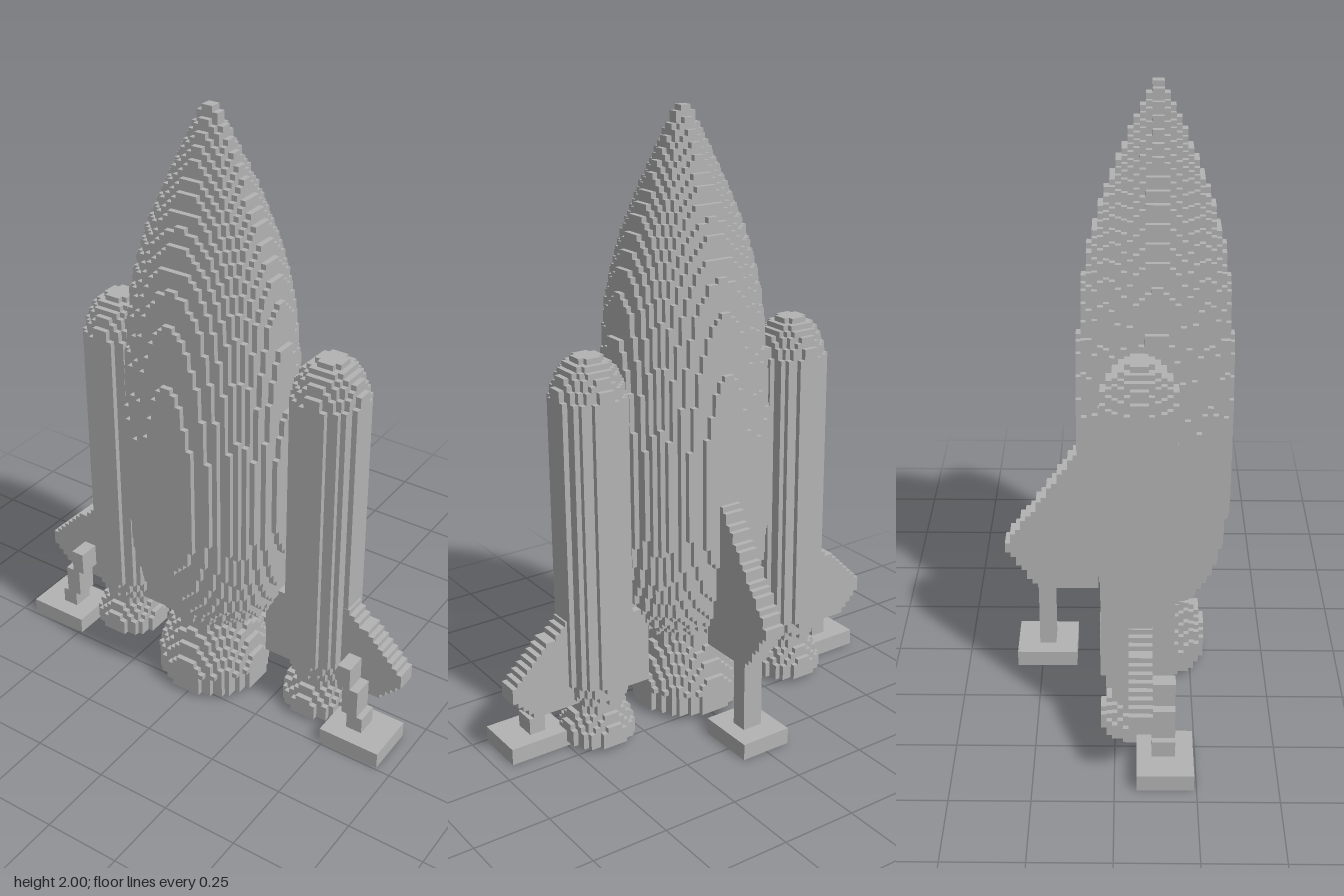
import * as THREE from 'three';
import { mergeGeometries } from 'three/addons/utils/BufferGeometryUtils.js';

const U = 2 / 114; // edge of one cube
const hullGrey = new THREE.MeshStandardMaterial({ color: 0xb3b3b3 });
hullGrey.name = 'hullGrey';

// Linear lookup in a list of [y, value] points; zero outside the list
function sample(points, y) {
  for (let i = 1; i < points.length; i++) {
    const [y0, v0] = points[i - 1], [y1, v1] = points[i];
    if (y >= y0 && y <= y1) return v0 + ((v1 - v0) * (y - y0)) / (y1 - y0);
  }
  return 0;
}

const snap = (v) => Math.round(v / U) * U;

// Stepped round body made of cubes: only the exposed faces are built
function voxelRound(outer, { depth = 1, inner = null, odd = false } = {}) {
  const off = odd ? 0 : 0.5, n = 18;
  const solid = (i, j, k) => {
    const y = (j + 0.5) * U, x = (i + off) * U, z = ((k + off) * U) / depth;
    const d = Math.hypot(x, z);
    return d < sample(outer, y) && !(inner && d < sample(inner, y));
  };
  const pos = [], nor = [], idx = [];
  const axes = [[1, 0, 0], [0, 1, 0], [0, 0, 1]];
  const j0 = Math.floor(outer[0][0] / U) - 1, j1 = Math.ceil(outer[outer.length - 1][0] / U);
  for (let j = j0; j <= j1; j++)
    for (let i = -n; i <= n; i++)
      for (let k = -n; k <= n; k++) {
        if (!solid(i, j, k)) continue;
        const c = [(i + off) * U, (j + 0.5) * U, (k + off) * U];
        for (let a = 0; a < 3; a++)
          for (const s of [1, -1]) {
            const d = axes[a].map((v) => v * s);
            if (solid(i + d[0], j + d[1], k + d[2])) continue;
            const t = axes[(a + 1) % 3], b = axes[(a + 2) % 3], base = pos.length / 3;
            for (const [p, q] of [[-1, -1], [1, -1], [1, 1], [-1, 1]]) {
              for (let m = 0; m < 3; m++) pos.push(c[m] + (U / 2) * (d[m] + t[m] * p * s + b[m] * q));
              nor.push(...d);
            }
            idx.push(base, base + 1, base + 2, base, base + 2, base + 3);
          }
      }
  const g = new THREE.BufferGeometry();
  g.setAttribute('position', new THREE.Float32BufferAttribute(pos, 3));
  g.setAttribute('normal', new THREE.Float32BufferAttribute(nor, 3));
  g.setIndex(idx);
  return g;
}

// Box given by its limits
function boxBetween(x0, x1, y0, y1, z0, z1) {
  return new THREE.BoxGeometry(x1 - x0, y1 - y0, z1 - z0)
    .translate((x0 + x1) / 2, (y0 + y1) / 2, (z0 + z1) / 2);
}

// Stepped fin: one slab per layer from a straight root to a sloping edge
function steppedFin(root, edge, makeSlab) {
  const slabs = [];
  const j0 = Math.round(edge[0][0] / U), j1 = Math.round(edge[edge.length - 1][0] / U);
  for (let j = j0; j < j1; j++) {
    const reach = snap(sample(edge, (j + 0.5) * U));
    if (reach > root) slabs.push(makeSlab(root, reach, j * U, (j + 1) * U));
  }
  return mergeGeometries(slabs);
}

function add(parent, name, geometry, x = 0, z = 0) {
  const mesh = new THREE.Mesh(geometry, hullGrey);
  mesh.name = name;
  mesh.position.set(x, 0, z);
  parent.add(mesh);
  return mesh;
}

export function createModel() {
  const rocket = new THREE.Group();
  rocket.name = 'rocket';

  // Main hull, slightly flattened front to back
  const hull = [[0.31, 0.18], [0.36, 0.215], [0.42, 0.243], [0.5, 0.26], [0.6, 0.273], [0.7, 0.281],
    [0.95, 0.281], [1.2, 0.267], [1.4, 0.247], [1.5, 0.228], [1.6, 0.198], [1.7, 0.16],
    [1.8, 0.115], [1.9, 0.066], [1.97, 0.03], [2, 0.018]];
  add(rocket, 'hull', voxelRound(hull, { depth: 0.89 }), 0, 0.12);

  // Main engine bell, hollow from below
  const bell = [[0.018, 0.176], [0.1, 0.178], [0.15, 0.165], [0.22, 0.14], [0.27, 0.122], [0.32, 0.128]];
  const bellHollow = [[0, 0.142], [0.06, 0.135], [0.13, 0.1], [0.2, 0.03]];
  add(rocket, 'mainEngine', voxelRound(bell, { inner: bellHollow }), 0, 0.12);

  // Side boosters with their engine bells
  const booster = [[0.16, 0.085], [0.18, 0.095], [0.23, 0.113], [0.25, 0.117], [1.15, 0.117], [1.2, 0.108],
    [1.25, 0.085], [1.28, 0.06], [1.3, 0.034]];
  const smallBell = [[0.018, 0.112], [0.06, 0.116], [0.09, 0.103], [0.13, 0.085], [0.17, 0.078]];
  const smallHollow = [[0, 0.085], [0.05, 0.078], [0.09, 0.05], [0.13, 0.02]];
  const boosterGeo = voxelRound(booster, { odd: true });
  const smallBellGeo = voxelRound(smallBell, { inner: smallHollow, odd: true });

  // Side fin: runs from beside the main engine out past the booster
  const sideEdge = [[0.15, 0.595], [0.165, 0.625], [0.235, 0.7], [0.28, 0.7], [0.45, 0.51]];
  const outerFin = steppedFin(0.39, sideEdge, (a, b, y0, y1) => boxBetween(a, b, y0, y1, 0.042, 0.114));
  const web = boxBetween(0.2, 0.39, snap(0.15), 0.42, 0.042, 0.114);

  // Leg that steps outward as it goes down to a flat foot
  const leg = mergeGeometries([
    boxBetween(0.515, 0.56, 0.21, 0.29, 0.114, 0.186),
    boxBetween(0.535, 0.59, 0.11, 0.21, 0.114, 0.186),
    boxBetween(0.555, 0.61, 0.055, 0.11, 0.114, 0.186),
  ]);
  const foot = boxBetween(0.49, 0.7, 0, 0.055, 0.068, 0.242);

  for (const side of [1, -1]) {
    const group = new THREE.Group();
    group.name = side > 0 ? 'leftSide' : 'rightSide';
    rocket.add(group);
    add(group, 'booster', boosterGeo, 0.388 * side, 0.069);
    add(group, 'boosterEngine', smallBellGeo, 0.388 * side, 0.069);
    // Half turn plus a shift mirrors these parts, as each is symmetric in depth
    const parts = [['sideFin', outerFin, 0.156], ['finWeb', web, 0.156], ['sideLeg', leg, 0.3], ['sideFoot', foot, 0.31]];
    for (const [name, geo, shift] of parts) {
      const mesh = add(group, name, geo, 0, side > 0 ? 0 : shift);
      if (side < 0) mesh.rotation.y = Math.PI;
    }
  }

  // Rear fin, leg and foot
  const rearEdge = [[0.28, 0.262], [0.43, 0.36], [0.435, 0.372], [0.455, 0.372], [0.46, 0.36], [0.8, 0.125], [0.83, 0.105]];
  add(rocket, 'rearFin', steppedFin(0.06, rearEdge, (a, b, y0, y1) => boxBetween(-0.035, 0.035, y0, y1, -b, -a)));
  add(rocket, 'rearLeg', boxBetween(-0.035, 0.035, 0.055, 0.29, -0.26, -0.205));
  add(rocket, 'rearFoot', boxBetween(-0.088, 0.088, 0, 0.055, -0.333, -0.132));
  return rocket;
}
